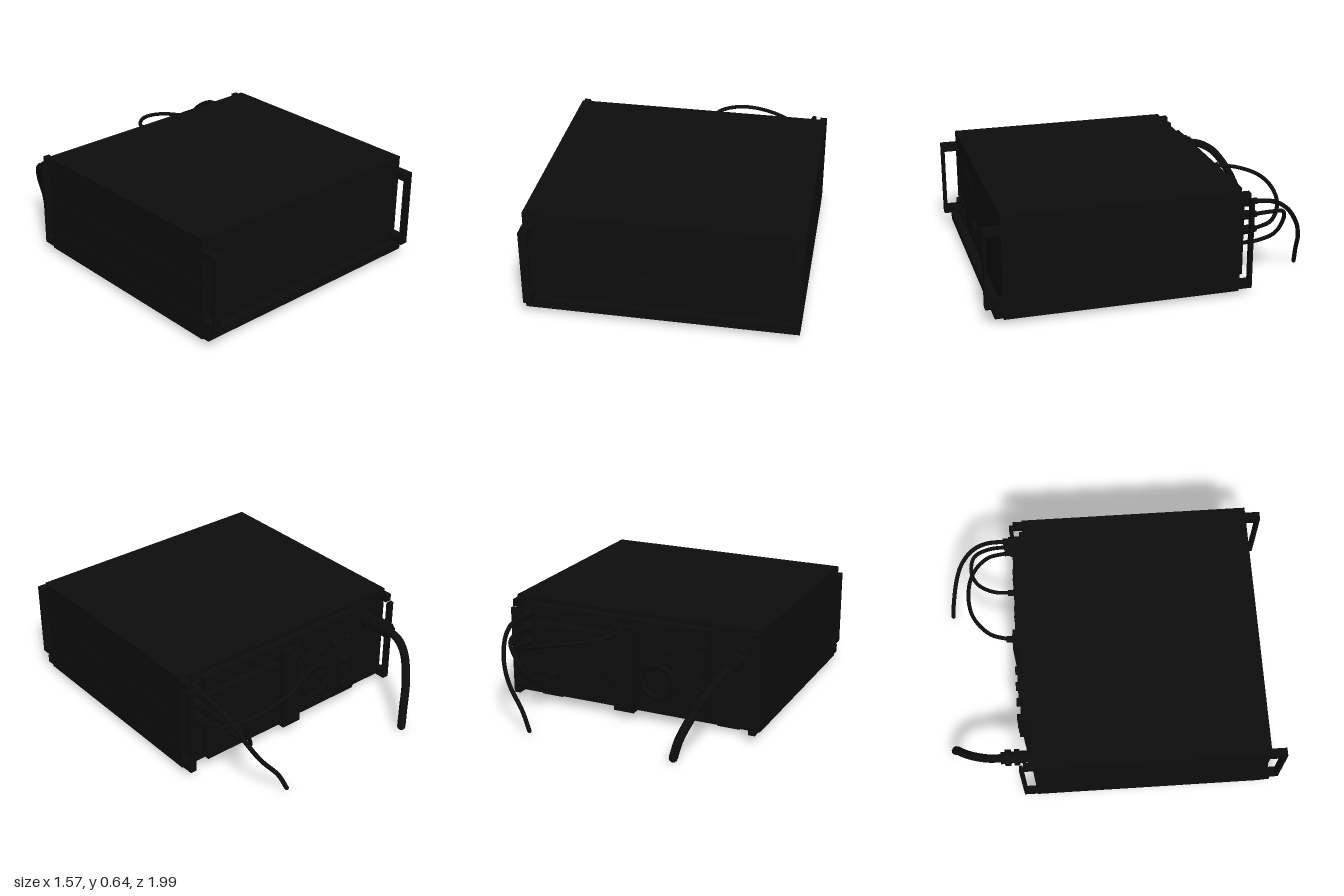
import * as THREE from 'three';

export function createModel() {
  const model = new THREE.Group();
  const black = new THREE.MeshStandardMaterial({ color: 0x0d0d0d });
  black.name = 'matte black';

  function add(name, geometry, x = 0, y = 0, z = 0) {
    const mesh = new THREE.Mesh(geometry, black);
    mesh.name = name;
    mesh.position.set(x, y, z);
    model.add(mesh);
    return mesh;
  }
  // Box given by its limits on each axis
  const box = (name, x0, x1, y0, y1, z0, z1) => add(name,
    new THREE.BoxGeometry(x1 - x0, y1 - y0, z1 - z0), (x0 + x1) / 2, (y0 + y1) / 2, (z0 + z1) / 2);
  // Cylinder lying along z between z0 and z1
  const round = (name, x, y, r, z0, z1, sides = 20) => add(name,
    new THREE.CylinderGeometry(r, r, z1 - z0, sides).rotateX(Math.PI / 2), x, y, (z0 + z1) / 2);
  const ring = (name, x, y, z, r, tube) => add(name, new THREE.TorusGeometry(r, tube, 6, 28), x, y, z);
  function cable(name, r, points) {
    const curve = new THREE.CatmullRomCurve3(points.map(p => new THREE.Vector3(...p)));
    add(name, new THREE.TubeGeometry(curve, 40, r, 10));
    const end = points[points.length - 1];
    add(name + 'End', new THREE.SphereGeometry(r, 10, 6), ...end);
  }

  // Case
  box('case', -0.782, 0.782, 0.03, 0.64, -0.47, 0.9);
  box('frontLowerLip', -0.782, 0.782, 0.04, 0.09, 0.9, 0.95);
  for (const s of [-1, 1]) {
    for (const y of [0.16, 0.37]) {
      const strip = box('sideSeam', -0.002, 0.002, y - 0.004, y + 0.004, -0.46, 0.89);
      strip.position.x = s * 0.782;
    }
    // Front handles
    const [a, b] = s > 0 ? [0.733, 0.782] : [-0.782, -0.733];
    box('handleGrip', a, b, 0.10, 0.57, 0.98, 1.0);
    box('handleTopArm', a, b, 0.52, 0.57, 0.9, 0.98);
    box('handleBottomArm', a, b, 0.10, 0.15, 0.9, 0.98);
    // Rear guards
    const [c, d] = s > 0 ? [0.742, 0.782] : [-0.782, -0.742];
    box('rearGuardTopArm', c, d, 0.58, 0.625, -0.525, -0.47);
    box('rearGuardBottomArm', c, d, 0.04, 0.09, -0.55, -0.47);
    box('rearGuardBar', c, d, 0.09, 0.58, -0.55, -0.53);
    // Feet
    for (const z of [0.83, -0.41]) box('foot', s * 0.58 - 0.068, s * 0.58 + 0.068, 0.01, 0.03, z - 0.03, z + 0.03);
  }

  // Front panel controls
  box('display', -0.45, -0.17, 0.42, 0.51, 0.9, 0.906);
  round('tuningKnob', -0.11, 0.235, 0.05, 0.9, 0.912, 28);
  ring('knobRim', -0.11, 0.235, 0.91, 0.045, 0.005);
  box('socketPlate', -0.72, -0.49, 0.10, 0.24, 0.9, 0.908);
  for (const y of [0.14, 0.2]) round('smallSocket', -0.68, y, 0.021, 0.9, 0.925);
  for (const x of [-0.6, -0.53]) {
    round('frontSocket', x, 0.17, 0.025, 0.9, 0.915);
    ring('frontSocketRim', x, 0.17, 0.915, 0.028, 0.006);
  }
  box('panelGroove', -0.72, 0.72, 0.2, 0.205, 0.9, 0.902);

  // Rear modules
  box('rearTopRail', -0.49, 0.65, 0.52, 0.61, -0.522, -0.47);
  box('powerModule', 0.12, 0.65, 0.07, 0.5, -0.54, -0.47);
  box('centreBlock', -0.03, 0.1, 0.045, 0.57, -0.556, -0.47);
  box('controlModule', -0.49, -0.04, 0.07, 0.52, -0.53, -0.47);
  box('rearEdgePlate', 0.655, 0.735, 0.07, 0.58, -0.49, -0.47);
  for (const x of [0.25, 0.5]) {
    for (let i = 1; i <= 4; i++) ring('fanGuardRing', x, 0.3, -0.545, i * 0.026, 0.005);
    for (let i = 0; i < 4; i++) {
      box('fanGuardSpoke', x - 0.11, x + 0.11, 0.297, 0.303, -0.552, -0.546).rotation.z = i * Math.PI / 4;
    }
  }
  ring('coolingFanRim', -0.17, 0.26, -0.535, 0.1, 0.016);
  round('coolingFanHub', -0.17, 0.26, 0.04, -0.55, -0.53);
  for (let i = 0; i < 6; i++) {
    const blade = box('fanBlade', -0.01, 0.01, 0.03, 0.09, -0.54, -0.53);
    const t = i * Math.PI / 3;
    blade.position.set(-0.17 - Math.sin(t) * 0.065, 0.26 + Math.cos(t) * 0.065, -0.535);
    blade.rotation.z = t;
  }
  for (let i = 0; i < 4; i++) {
    round('rearSocket', -0.42 + i * 0.1, 0.45, 0.026, -0.555, -0.53);
    if (i < 3) round('rearSideSocket', -0.41, 0.13 + i * 0.09, 0.03, -0.56, -0.53);
  }
  round('groundPost', -0.55, 0.3, 0.012, -0.515, -0.47);
  round('groundNut', -0.55, 0.3, 0.026, -0.515, -0.505, 6);

  // Thick power cable and its stepped plug
  [[0.055, -0.5, -0.47], [0.036, -0.55, -0.5], [0.048, -0.58, -0.55], [0.034, -0.6, -0.58],
    [0.048, -0.635, -0.6], [0.036, -0.66, -0.635]].forEach(([r, z0, z1]) => round('powerPlug', -0.66, 0.465, r, z0, z1));
  cable('powerCable', 0.025, [[-0.66, 0.465, -0.62], [-0.655, 0.45, -0.72], [-0.625, 0.4, -0.81],
    [-0.56, 0.27, -0.9], [-0.5, 0.13, -0.95], [-0.475, 0.027, -0.97]]);

  // Signal cables and plugs
  for (const [x, y] of [[0.695, 0.54], [0.695, 0.46], [0.695, 0.37], [0.05, 0.54], [0.495, 0.2]]) {
    round('plugBase', x, y, 0.027, -0.56, -0.47);
    round('plugSleeve', x, y, 0.019, -0.595, -0.56);
  }
  cable('hangingCable', 0.013, [[0.695, 0.54, -0.58], [0.695, 0.525, -0.7], [0.68, 0.47, -0.79],
    [0.64, 0.36, -0.87], [0.58, 0.25, -0.915], [0.48, 0.12, -0.95], [0.43, 0.014, -0.965]]);
  cable('longLoopCable', 0.012, [[0.05, 0.54, -0.58], [0.09, 0.535, -0.69], [0.21, 0.52, -0.79],
    [0.37, 0.49, -0.82], [0.54, 0.44, -0.79], [0.66, 0.39, -0.7], [0.695, 0.37, -0.58]]);
  cable('shortLoopCable', 0.012, [[0.495, 0.2, -0.58], [0.505, 0.21, -0.69], [0.54, 0.26, -0.78],
    [0.59, 0.36, -0.81], [0.65, 0.44, -0.78], [0.685, 0.46, -0.69], [0.695, 0.46, -0.58]]);

  return model;
}
